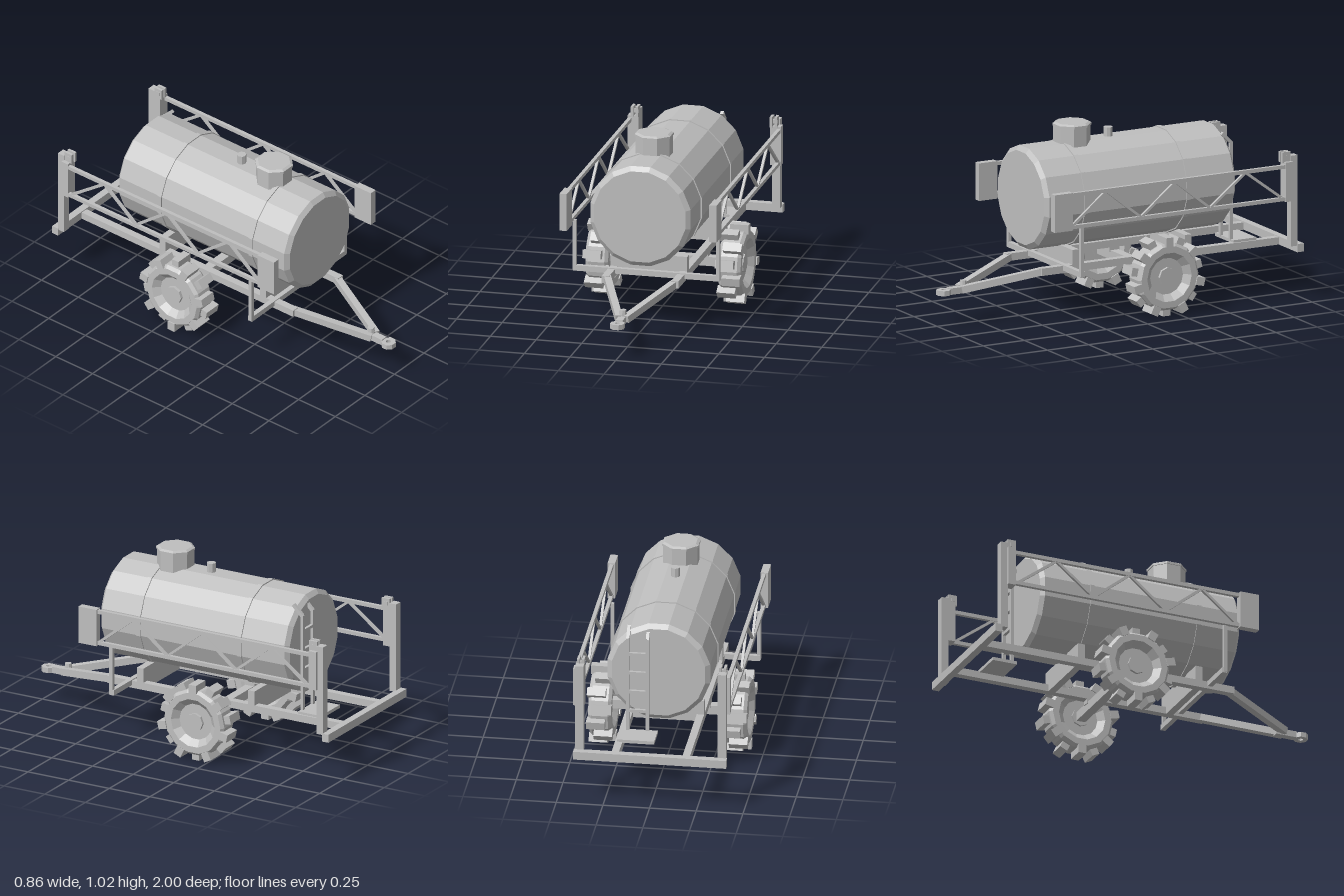
import * as THREE from 'three';

export function createModel() {
  const model = new THREE.Group();
  model.name = 'trailedSprayer';
  const grey = new THREE.MeshStandardMaterial({ color: 0xbfbfbf, flatShading: true });
  grey.name = 'grey';

  const add = (name, geo, x = 0, y = 0, z = 0, parent = model) => {
    const m = new THREE.Mesh(geo, grey);
    m.name = name;
    m.position.set(x, y, z);
    parent.add(m);
    return m;
  };
  // Box given by its limits
  const box = (name, x0, x1, y0, y1, z0, z1) =>
    add(name, new THREE.BoxGeometry(x1 - x0, y1 - y0, z1 - z0), (x0 + x1) / 2, (y0 + y1) / 2, (z0 + z1) / 2);
  // Square bar between two points
  const bar = (name, a, b, w, h = w) => {
    const p = new THREE.Vector3(...a), q = new THREE.Vector3(...b);
    const m = add(name, new THREE.BoxGeometry(w, h, p.distanceTo(q)));
    m.position.copy(p).add(q).multiplyScalar(0.5);
    m.lookAt(q);
    return m;
  };
  const lathe = (pts, n, phi = 0) =>
    new THREE.LatheGeometry(pts.map(([r, y]) => new THREE.Vector2(r, y)), n, phi);

  // Tank with chamfered ends, and two straps
  const N = 16, phi = Math.PI / N, R = 0.28;
  const tank = lathe([[0, -0.67], [0.255, -0.67], [R, -0.65], [R, 0.47], [0.255, 0.49], [0, 0.49]], N, phi);
  add('tank', tank.rotateX(Math.PI / 2), 0, 0.65, 0);
  for (const z of [0.245, -0.375]) {
    const strap = lathe([[0.27, -0.013], [0.286, -0.013], [0.286, 0.013], [0.27, 0.013]], N, phi);
    add('tankStrap', strap.rotateX(Math.PI / 2), 0, 0.65, z);
  }

  // Filler neck with lid, and breather
  const lid = lathe([[0, -0.16], [0.1, -0.16], [0.1, 0], [0.105, 0], [0.105, 0.012], [0.09, 0.02], [0, 0.02]], 8, Math.PI / 8);
  add('fillerLid', lid, 0, 1.01, 0.18);
  add('breather', new THREE.CylinderGeometry(0.025, 0.025, 0.08, 8), 0, 0.935, -0.04);

  // Chassis rails, drawbar and rear beam
  for (const s of [-1, 1]) {
    box('chassisRail', s * 0.19 - 0.02, s * 0.19 + 0.02, 0.265, 0.305, -0.97, 0.48);
    bar('drawbar', [s * 0.185, 0.285, 0.46], [s * 0.018, 0.197, 0.86], 0.038);
    box('axleBracket', s * 0.19 - 0.02, s * 0.19 + 0.02, 0.24, 0.27, -0.205, -0.145);
  }
  box('rearBeam', -0.41, 0.41, 0.265, 0.31, -1, -0.96);
  for (const z of [0.275, -0.41]) box('tankCradle', -0.21, 0.21, 0.265, 0.385, z - 0.02, z + 0.02);
  box('axle', -0.38, 0.38, 0.2, 0.25, -0.2, -0.15);

  // Hitch with towing eye
  box('hitchBar', -0.02, 0.02, 0.175, 0.21, 0.81, 0.93);
  add('hitchPin', new THREE.CylinderGeometry(0.018, 0.022, 0.04, 8), 0, 0.222, 0.84);
  const eye = lathe([[0.014, -0.014], [0.04, -0.014], [0.04, 0.014], [0.014, 0.014], [0.014, -0.014]], 8, Math.PI / 8);
  add('towingEye', eye, 0, 0.19, 0.96);

  // Wheels with staggered lugs
  for (const s of [-1, 1]) {
    const wheel = new THREE.Group();
    wheel.name = s > 0 ? 'leftWheel' : 'rightWheel';
    wheel.position.set(s * 0.3625, 0.225, -0.175);
    wheel.rotation.z = -s * Math.PI / 2;
    model.add(wheel);
    add('tyreAndRim', lathe([[0, -0.035], [0.1, -0.035], [0.135, -0.062], [0.17, -0.062], [0.185, -0.045],
      [0.185, 0.045], [0.17, 0.062], [0.135, 0.062], [0.1, 0.03], [0, 0.03]], 14), 0, 0, 0, wheel);
    add('hub', new THREE.CylinderGeometry(0.05, 0.05, 0.09, 8), 0, 0, 0, wheel);
    for (let i = 0; i < 14; i++) {
      const a = (i / 14) * Math.PI * 2;
      const lug = add('tyreLug', new THREE.BoxGeometry(0.05, 0.1, 0.045),
        Math.cos(a) * 0.192, i % 2 ? 0.0175 : -0.0175, -Math.sin(a) * 0.192, wheel);
      lug.rotation.y = a;
    }
  }

  // Folded lattice booms with their supports
  box('frontBoomBeam', -0.4, 0.4, 0.28, 0.31, 0.325, 0.352);
  const zig = [0.41, 0.2, -0.01, -0.22, -0.43, -0.645, -0.87];
  for (const s of [-1, 1]) {
    const x = s * 0.408;
    for (const y of [0.742, 0.566]) bar('boomChord', [x, y, 0.43], [x, y, -0.93], 0.02);
    for (let i = 0; i < 6; i++) {
      const y = (k) => (k % 2 ? 0.738 : 0.57);
      bar('boomBrace', [x, y(i), zig[i]], [x, y(i + 1), zig[i + 1]], 0.014);
    }
    const span = (a, b) => (s > 0 ? [a, b] : [-b, -a]);
    box('boomEndPlate', ...span(0.39, 0.43), 0.552, 0.757, 0.415, 0.525);
    box('frontBoomPost', ...span(0.383, 0.403), 0.285, 0.56, 0.332, 0.352);
    box('rearBoomPost', ...span(0.36, 0.405), 0.3, 0.795, -0.965, -0.925);
    box('boomHinge', ...span(0.36, 0.42), 0.55, 0.765, -0.93, -0.885);
    for (const d of [0, 0.026]) box('hingeLug', ...span(0.36 + d, 0.374 + d), 0.76, 0.818, -0.925, -0.875);
    box('hingePin', ...span(0.358, 0.402), 0.78, 0.8, -0.91, -0.89);
  }

  // Rear ladder and step
  box('step', 0, 0.2, 0.3, 0.318, -0.83, -0.69);
  for (const x of [0.055, 0.16]) {
    bar('ladderRail', [x, 0.31, -0.695], [x, 0.85, -0.695], 0.018);
    bar('ladderRailTop', [x, 0.845, -0.695], [x, 0.9, -0.64], 0.018);
  }
  for (const y of [0.43, 0.54, 0.65, 0.76]) bar('ladderRung', [0.055, y, -0.695], [0.16, y, -0.695], 0.016);
  return model;
}
